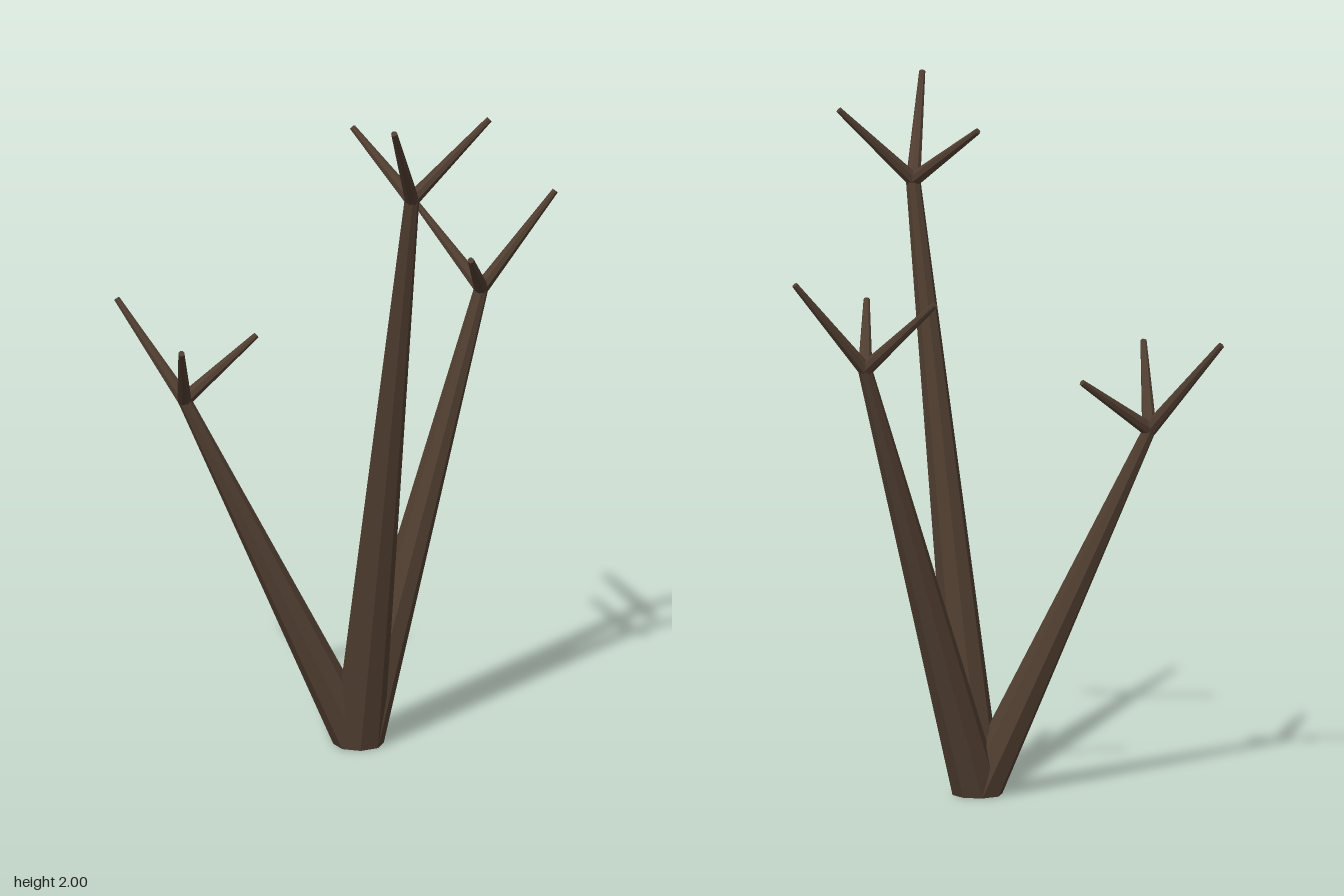
import * as THREE from 'three';

const bark = new THREE.MeshStandardMaterial({ color: 0x4f3d30, flatShading: true });
const root = new THREE.Vector3(-0.045, 0, -0.055);

// Each branch: fork point and the tips of its three twigs
const branches = [
  { name: 'tallBranch', fork: [-0.045, 1.72, 0.275],
    tips: [[-0.193, 1.992, 0.452], [0.182, 1.938, 0.314], [-0.123, 1.885, 0.06]] },
  { name: 'leftBranch', fork: [0.38, 1.275, -0.12],
    tips: [[0.606, 1.538, -0.1], [0.28, 1.483, -0.328], [0.247, 1.435, 0.073]] },
  { name: 'rightBranch', fork: [-0.497, 1.035, -0.255],
    tips: [[-0.611, 1.297, -0.453], [-0.268, 1.193, -0.255], [-0.611, 1.25, -0.053]] },
];

// Leaning limb with level ends, so the foot lies flat on the ground
function makeLimb(from, to) {
  const d = to.clone().sub(from);
  const geo = new THREE.CylinderGeometry(0.021, 0.072, d.y, 8, 2);
  geo.rotateY(Math.PI / 8);
  geo.translate(0, d.y / 2, 0);
  const p = geo.attributes.position;
  for (let i = 0; i < p.count; i++) {
    const t = p.getY(i) / d.y;
    p.setX(i, p.getX(i) + d.x * t);
    p.setZ(i, p.getZ(i) + d.z * t);
  }
  geo.computeVertexNormals();
  const mesh = new THREE.Mesh(geo, bark);
  mesh.position.copy(from);
  return mesh;
}

// Thin tapered twig between two points
function makeTwig(from, to) {
  const d = to.clone().sub(from);
  const geo = new THREE.CylinderGeometry(0.009, 0.021, d.length(), 8);
  const mesh = new THREE.Mesh(geo, bark);
  mesh.position.copy(from).addScaledVector(d, 0.5);
  mesh.quaternion.setFromUnitVectors(new THREE.Vector3(0, 1, 0), d.normalize());
  return mesh;
}

export function createModel() {
  const tree = new THREE.Group();
  tree.name = 'bareTree';
  for (const { name, fork, tips } of branches) {
    const branch = new THREE.Group();
    branch.name = name;
    const top = new THREE.Vector3(...fork);
    const limb = makeLimb(root, top);
    limb.name = 'limb';
    branch.add(limb);
    tips.forEach((tip, i) => {
      const twig = makeTwig(top, new THREE.Vector3(...tip));
      twig.name = `twig${i + 1}`;
      branch.add(twig);
    });
    tree.add(branch);
  }
  return tree;
}
